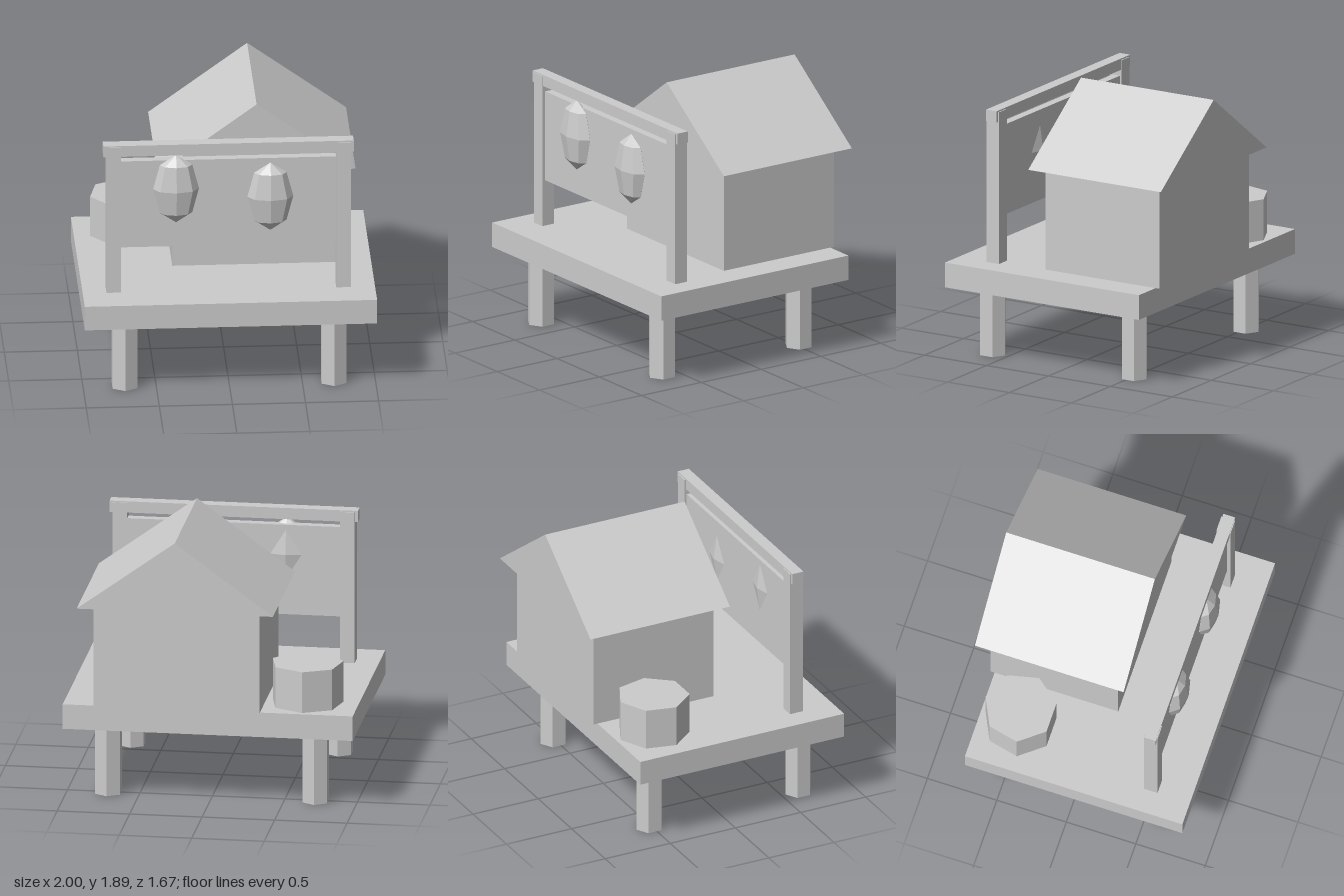
import * as THREE from 'three';

const grey = new THREE.MeshStandardMaterial({ color: 0xcccccc, flatShading: true });

export function createModel() {
  const model = new THREE.Group();
  model.name = 'hutOnPlatform';

  const add = (name, geometry, x = 0, y = 0, z = 0) => {
    const mesh = new THREE.Mesh(geometry, grey);
    mesh.name = name;
    mesh.position.set(x, y, z);
    model.add(mesh);
    return mesh;
  };

  // Box given by its limits on each axis
  const box = (name, [x0, x1], [y0, y1], [z0, z1]) =>
    add(name, new THREE.BoxGeometry(x1 - x0, y1 - y0, z1 - z0),
      (x0 + x1) / 2, (y0 + y1) / 2, (z0 + z1) / 2);

  // Platform on four hexagonal legs
  box('platform', [-1, 1], [0.505, 0.68], [-0.73, 0.835]);
  for (const x of [-0.715, 0.715]) {
    for (const z of [0.628, -0.515]) {
      add('leg', new THREE.CylinderGeometry(0.098, 0.098, 0.505, 6), x, 0.2525, z);
    }
  }

  // House body and gabled roof
  box('houseBody', [-0.36, 0.785], [0.68, 1.4], [-0.76, 0.16]);
  const gable = new THREE.Shape([
    new THREE.Vector2(-0.677, 0),
    new THREE.Vector2(0.677, 0),
    new THREE.Vector2(0, 0.495),
  ]);
  const roof = new THREE.ExtrudeGeometry(gable, { depth: 1.07, bevelEnabled: false });
  add('roof', roof, 0.212, 1.4, -0.837);

  // Seven-sided barrel beside the house
  add('barrel', new THREE.CylinderGeometry(0.25, 0.25, 0.29, 7), -0.645, 0.825, -0.45)
    .rotation.y = Math.PI;

  // Sign frame: two posts, a top beam and a board
  for (const x of [-0.787, 0.785]) {
    box('signPost', [x - 0.05, x + 0.05], [0.68, 1.755], [0.503, 0.602]);
  }
  box('signBeam', [-0.858, 0.855], [1.685, 1.765], [0.511, 0.596]);
  box('signBoard', [-0.737, 0.737], [1.005, 1.643], [0.518, 0.578]);

  // Faceted lanterns set into the board
  for (const [x, y] of [[-0.36, 1.433], [0.285, 1.36]]) {
    const lantern = new THREE.SphereGeometry(1, 8, 4).scale(0.157, 0.25, 0.087);
    add('lantern', lantern, x, y, 0.58);
  }

  return model;
}
